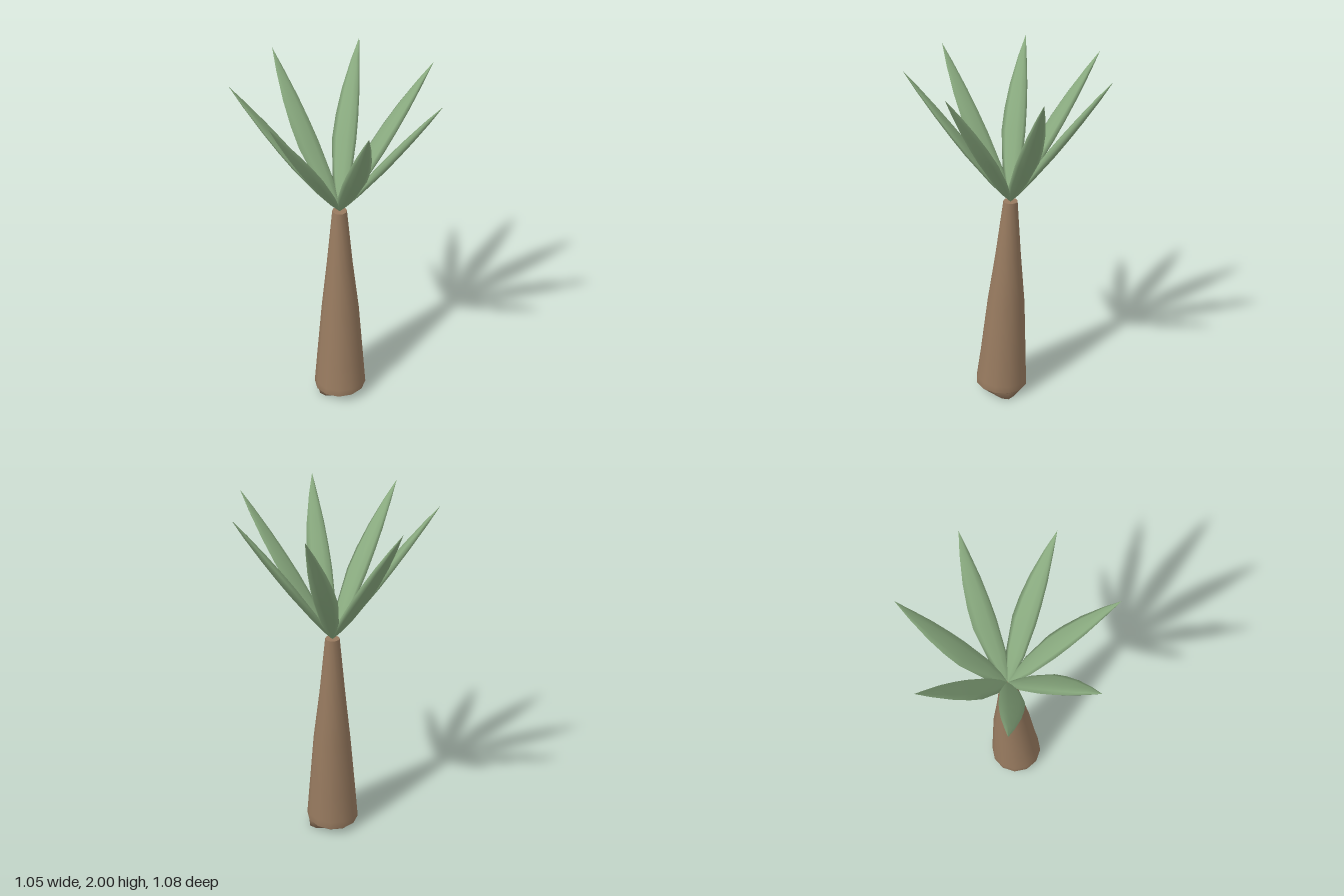
import * as THREE from 'three';

// Skin a series of closed rings (each an array of [x, y, z]) with smooth normals
function loft(rings) {
  const n = rings[0].length;
  const index = [];
  for (let k = 0; k < rings.length - 1; k++) {
    for (let i = 0; i < n; i++) {
      const j = (i + 1) % n;
      const a = k * n + i, b = k * n + j, c = a + n, d = b + n;
      index.push(a, b, c, b, d, c);
    }
  }
  const geometry = new THREE.BufferGeometry();
  geometry.setAttribute('position', new THREE.Float32BufferAttribute(rings.flat(2), 3));
  geometry.setIndex(index);
  geometry.computeVertexNormals();
  return geometry;
}

const ringOf = (sides, point) =>
  Array.from({ length: sides }, (_, i) => point((i / sides) * Math.PI * 2));

// Leaning, tapering trunk: height, centre x, centre z, radius x, radius z, rim tilt
// (a repeated section makes a sharp edge)
function trunkGeometry() {
  const sections = [
    [0.0, -0.05, 0.05, 0, 0, 0],
    [0.004, -0.05, 0.05, 0.14, 0.07, 0],
    [0.042, -0.055, 0.05, 0.143, 0.143, 0.01],
    [0.042, -0.055, 0.05, 0.143, 0.143, 0.01],
    [0.05, -0.056, 0.05, 0.151, 0.151, 0.01],
    [0.09, -0.055, 0.048, 0.148, 0.148, 0.008],
    [0.25, -0.05, 0.04, 0.135, 0.135, 0],
    [0.6, -0.04, 0.024, 0.105, 0.109, 0],
    [0.9, -0.036, 0.012, 0.072, 0.074, 0],
    [1.24, -0.03, 0, 0.04, 0.04, 0],
    [1.24, -0.03, 0, 0.04, 0.04, 0],
    [1.24, -0.03, 0, 0, 0, 0],
  ];
  return loft(sections.map(([y, cx, cz, rx, rz, tilt]) =>
    ringOf(12, (a) => [cx + Math.sin(a) * rx, y + Math.cos(a) * tilt, cz + Math.cos(a) * rz])));
}

// Spindle-shaped blade along +x: position, wide side, narrow side, half thickness
function leafGeometry(length) {
  const sections = [
    [0, 0, 0, 0],
    [0.08, 0.03, 0.024, 0.011],
    [0.2, 0.062, 0.042, 0.018],
    [0.42, 0.086, 0.047, 0.024],
    [0.55, 0.081, 0.043, 0.023],
    [0.7, 0.064, 0.034, 0.019],
    [0.87, 0.032, 0.016, 0.011],
    [1, 0, 0, 0],
  ];
  return loft(sections.map(([t, wide, narrow, thick]) =>
    ringOf(8, (a) => {
      const side = Math.cos(a);
      return [t * length, -Math.sin(a) * thick, side * (side < 0 ? wide : narrow)];
    })));
}

export function createModel() {
  const bark = new THREE.MeshStandardMaterial({ color: 0x977a5f });
  bark.name = 'bark brown';
  const green = new THREE.MeshStandardMaterial({ color: 0x89aa7f });
  green.name = 'leaf green';

  const model = new THREE.Group();
  model.name = 'palmPlant';

  const trunk = new THREE.Mesh(trunkGeometry(), bark);
  trunk.name = 'trunk';
  model.add(trunk);

  // Seven leaves fanned evenly around the top of the trunk
  const reach = 0.552, rise = 0.765;
  const blade = leafGeometry(Math.hypot(reach, rise));
  blade.rotateZ(Math.atan2(rise, reach));
  const crown = new THREE.Group();
  crown.name = 'crown';
  crown.position.set(-0.03, 1.235, 0);
  for (let i = 0; i < 7; i++) {
    const leaf = new THREE.Mesh(blade, green);
    leaf.name = `leaf${i + 1}`;
    leaf.rotation.y = (i / 7) * Math.PI * 2;
    crown.add(leaf);
  }
  model.add(crown);
  return model;
}
